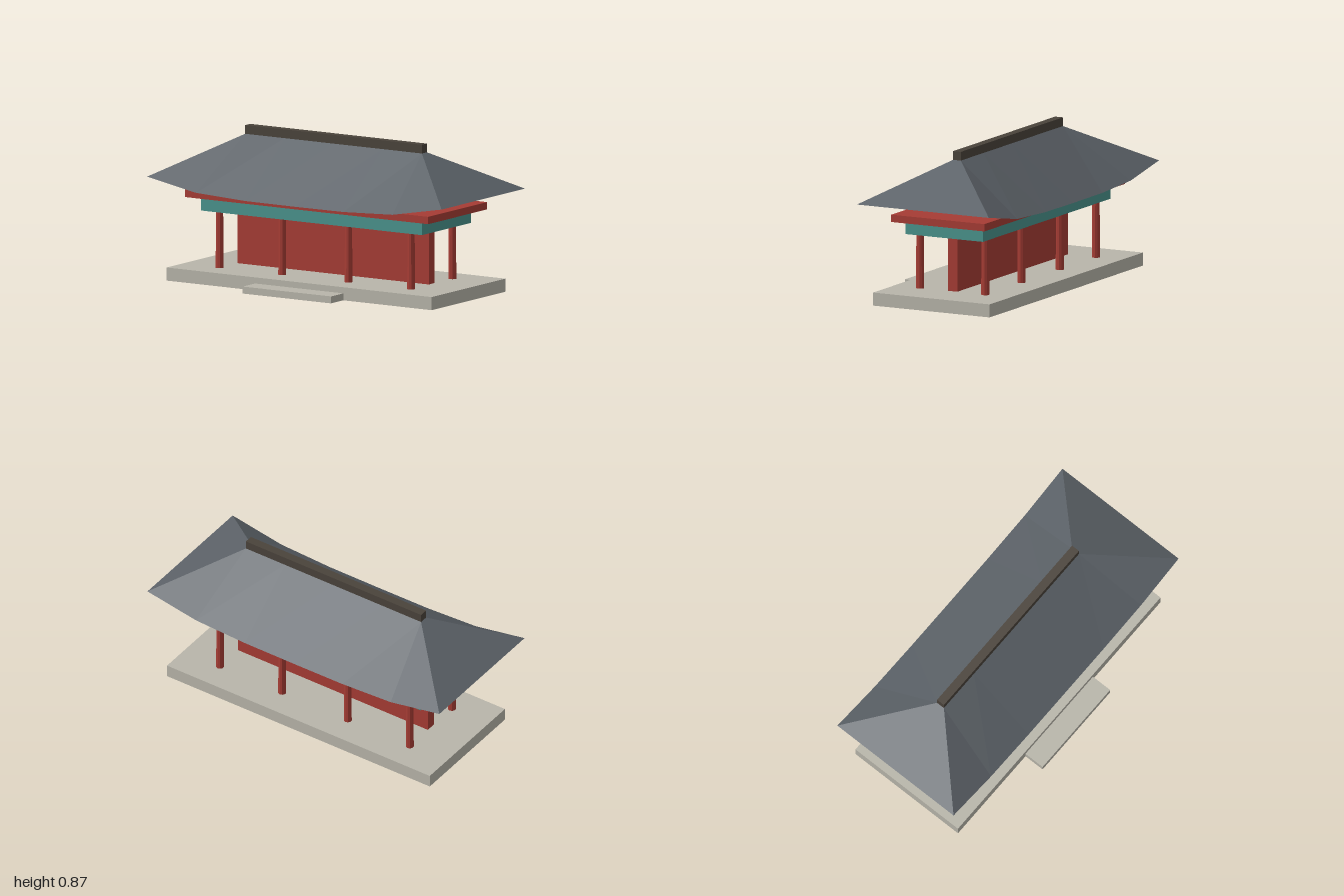
import * as THREE from 'three';

const material = (name, color, side = THREE.FrontSide) => {
  const m = new THREE.MeshStandardMaterial({ color, side, flatShading: true });
  m.name = name;
  return m;
};

export function createModel() {
  const stone = material('stone', 0xb8b5aa);
  const red = material('red lacquer', 0xa63c34);
  const teal = material('teal paint', 0x4a938c);
  const tile = material('grey roof tile', 0x5c6268, THREE.DoubleSide);
  const ridgeWood = material('dark ridge', 0x4a433b);

  const model = new THREE.Group();
  model.name = 'pavilion';
  // The hall sits slightly back so that the step fits in front
  const hall = new THREE.Group();
  hall.name = 'hall';
  hall.position.z = -0.037;
  model.add(hall);

  const add = (name, geometry, mat, x, y, z) => {
    const mesh = new THREE.Mesh(geometry, mat);
    mesh.name = name;
    mesh.position.set(x, y, z);
    hall.add(mesh);
  };
  // Box standing on height y
  const box = (name, mat, w, h, d, y, z = 0) =>
    add(name, new THREE.BoxGeometry(w, h, d), mat, 0, y + h / 2, z);

  box('platform', stone, 1.8, 0.075, 0.75, 0);
  box('frontStep', stone, 0.6, 0.04, 0.125, 0, 0.4375);
  box('wall', red, 1.3, 0.312, 0.06, 0.075);
  box('beam', teal, 1.5, 0.077, 0.5, 0.398);
  box('eaveBoard', red, 1.65, 0.042, 0.6, 0.475);
  box('ridge', ridgeWood, 1.2, 0.05, 0.05, 0.82);

  // Two rows of tapered columns
  const columnGeometry = new THREE.CylinderGeometry(0.021, 0.0235, 0.323, 10);
  for (const z of [0.21, -0.21])
    for (const x of [-0.65, -0.225, 0.225, 0.65])
      add('column', columnGeometry, red, x, 0.2365, z);

  // Hipped roof shell: the long eaves sweep up to the corners
  const points = [];
  const quad = (a, b, c, d) => points.push(...a, ...b, ...c, ...a, ...c, ...d);
  const eaveY = (x) => 0.515 + 0.078 * Math.abs(x) ** 3.8;
  const eave = (x, s) => [x * s, eaveY(x), 0.425 * s];
  const top = (x, s) => [THREE.MathUtils.clamp(x, -0.6, 0.6) * s, 0.82, 0.025 * s];
  const segments = 6;
  for (const s of [1, -1]) {
    for (let i = 0; i < segments; i++) {
      const x0 = -1 + (2 * i) / segments;
      const x1 = -1 + (2 * (i + 1)) / segments;
      quad(eave(x0, s), eave(x1, s), top(x1, s), top(x0, s));
    }
    // Straight-eaved end slope
    quad([s, 0.593, 0.425 * s], [s, 0.593, -0.425 * s],
      [0.6 * s, 0.82, -0.025 * s], [0.6 * s, 0.82, 0.025 * s]);
  }
  const roof = new THREE.BufferGeometry();
  roof.setAttribute('position', new THREE.Float32BufferAttribute(points, 3));
  roof.computeVertexNormals();
  add('roof', roof, tile, 0, 0, 0);

  return model;
}
